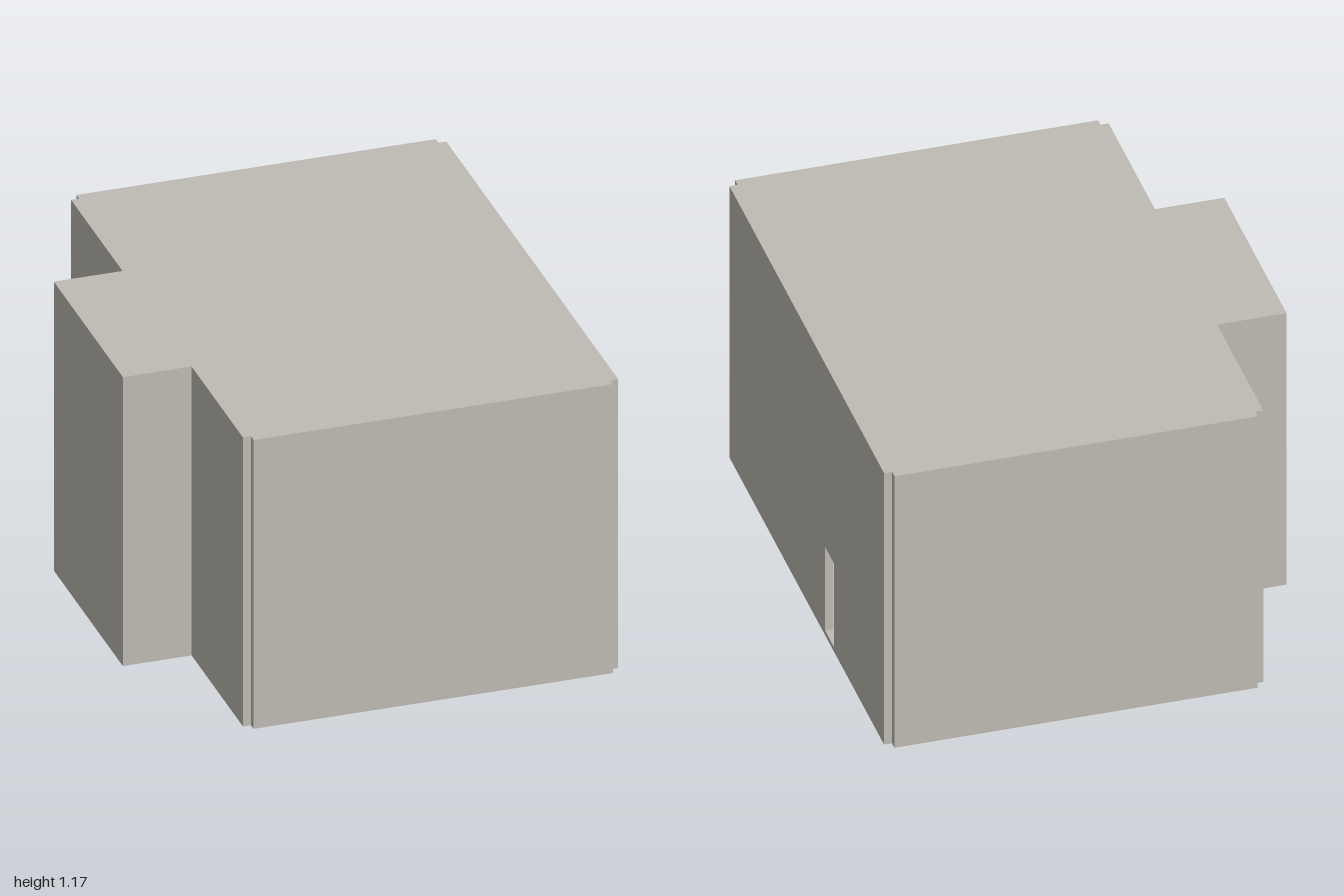
import * as THREE from 'three';

const H = 1.17, SLAB = 0.02, T = 0.03;          // height, slab and wall thickness
const X0 = -0.55, X1 = 0.81, Z = 0.97;          // inside of the main walls
const WX = -0.84, WZ = 0.39;                    // outside of the side wing
const DOOR = { z0: -0.34, z1: -0.23, top: 0.38 };

export function createModel() {
  const model = new THREE.Group();
  const concrete = new THREE.MeshStandardMaterial({ color: 0xbfbcb4 });
  concrete.name = 'concrete';

  const add = (name, geometry) => {
    const mesh = new THREE.Mesh(geometry, concrete);
    mesh.name = name;
    model.add(mesh);
    return mesh;
  };
  const box = (name, x0, x1, y0, y1, z0, z1) =>
    add(name, new THREE.BoxGeometry(x1 - x0, y1 - y0, z1 - z0))
      .position.set((x0 + x1) / 2, (y0 + y1) / 2, (z0 + z1) / 2);
  const shapeOf = (points) => new THREE.Shape(points.map(([a, b]) => new THREE.Vector2(a, b)));

  // Footprint with notched corners and the wing on one side
  const footprint = shapeOf([
    [X0, -Z - T], [X1, -Z - T], [X1, -Z], [X1 + T, -Z], [X1 + T, Z], [X1, Z],
    [X1, Z + T], [X0, Z + T], [X0, Z], [X0 - T, Z], [X0 - T, WZ], [WX, WZ],
    [WX, -WZ], [X0 - T, -WZ], [X0 - T, -Z], [X0, -Z],
  ]);
  const plate = (name, y) => {
    const g = new THREE.ExtrudeGeometry(footprint, { depth: SLAB, bevelEnabled: false });
    g.rotateX(-Math.PI / 2);
    add(name, g).position.y = y;
  };
  plate('groundSlab', 0);
  plate('roofSlab', H - SLAB);

  // Upper floors, held inside the walls
  for (const y of [0.39, 0.78]) {
    box('upperFloor', X0, X1, y, y + SLAB, -Z, Z);
    box('wingFloor', WX + T, X0, y, y + SLAB, -WZ + T, WZ - T);
  }

  const y0 = SLAB, y1 = H - SLAB;

  // End walls and the side walls beside the wing
  for (const s of [-1, 1]) {
    const span = (a, b) => [Math.min(s * a, s * b), Math.max(s * a, s * b)];
    box(s > 0 ? 'frontWall' : 'backWall', X0, X1, y0, y1, ...span(Z, Z + T));
    box('sideWall', X0 - T, X0, y0, y1, ...span(WZ - T, Z));
    box('wingSideWall', WX, X0 - T, y0, y1, ...span(WZ - T, WZ));
  }
  box('wingEndWall', WX, WX + T, y0, y1, -WZ + T, WZ - T);

  // Entrance wall with the doorway cut out of its foot
  const wall = shapeOf([
    [-Z, y0], [-DOOR.z1, y0].map((v, i) => (i ? v : -Z)), [DOOR.z0, y0], [DOOR.z0, DOOR.top],
    [DOOR.z1, DOOR.top], [DOOR.z1, y0], [Z, y0], [Z, y1], [-Z, y1],
  ].filter((p, i) => i !== 1));
  const entrance = new THREE.ExtrudeGeometry(wall, { depth: T, bevelEnabled: false });
  entrance.rotateY(-Math.PI / 2);               // shape x becomes z, depth becomes -x
  entrance.translate(X1 + T, 0, 0);
  add('entranceWall', entrance);

  // Hallway partitions behind the doorway
  box('hallWall', 0.62, 0.65, y0, 0.39, -0.41, Z);
  box('hallEndWall', 0.65, X1, y0, 0.39, -0.41, -0.38);

  return model;
}
